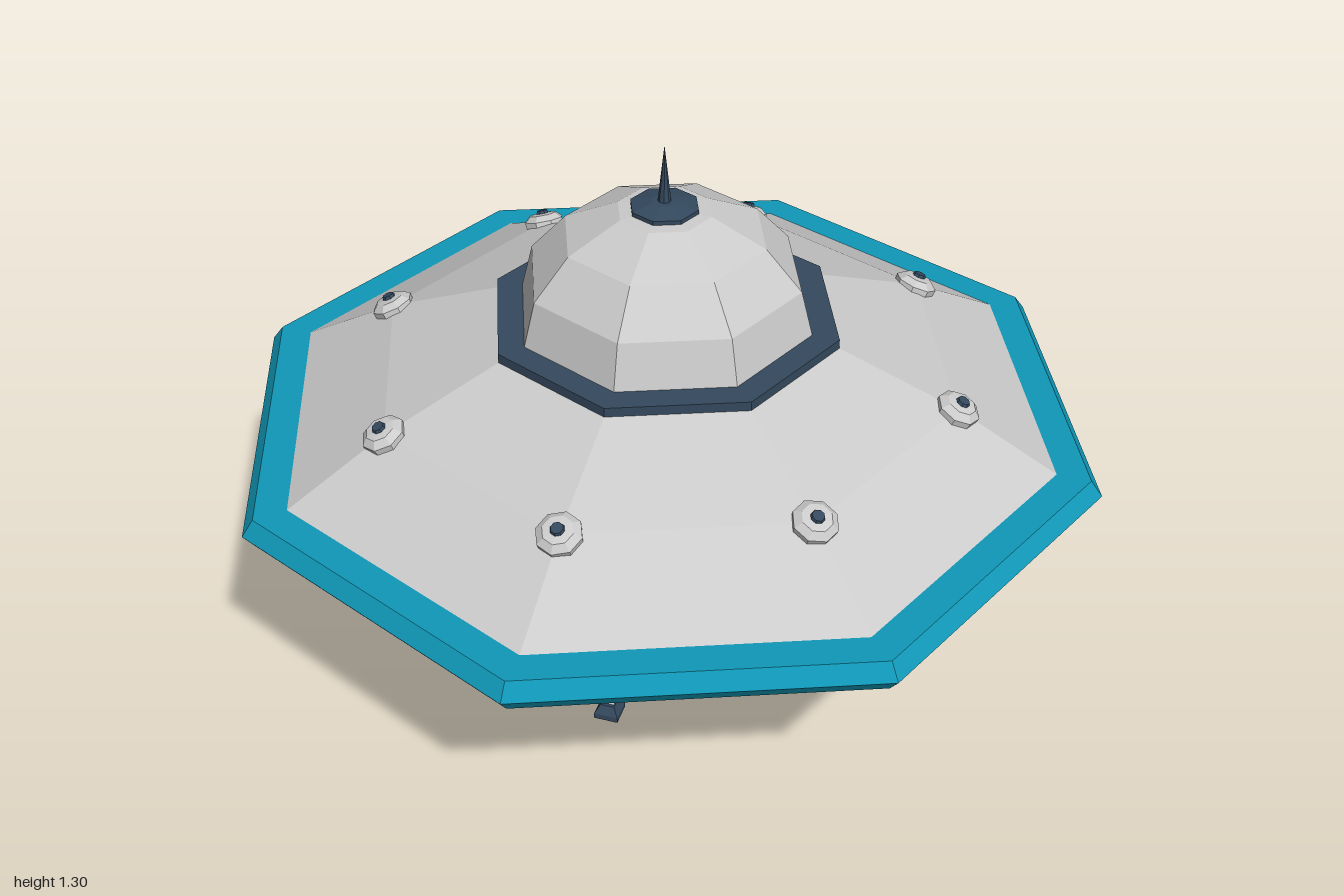
import * as THREE from 'three';

const mat = (color) => new THREE.MeshStandardMaterial({ color, flatShading: true });
const GREY = mat(0xcccccc), TEAL = mat(0x1098b8), DARK = mat(0x34495e);
const SIDES = 8;
const TURN = -THREE.MathUtils.degToRad(15.7); // the octagon is turned a little about y

function add(parent, name, geometry, material, x = 0, y = 0, z = 0) {
  const mesh = new THREE.Mesh(geometry, material);
  mesh.name = name;
  mesh.position.set(x, y, z);
  parent.add(mesh);
  return mesh;
}

// Octagonal solid of revolution; profile listed as [radius, y] from bottom to top
const lathe = (profile, start = TURN) =>
  new THREE.LatheGeometry(profile.map(([r, y]) => new THREE.Vector2(r, y)), SIDES, start);

// Box standing on y = from and reaching y = to
function post(w, d, from, to) {
  return new THREE.BoxGeometry(w, to - from, d).translate(0, (from + to) / 2, 0);
}

function makeLight(phi) {
  const pivot = new THREE.Group();
  pivot.name = 'hullLight';
  pivot.rotation.y = phi;
  const lamp = new THREE.Group();
  lamp.position.set(0, 0.748, 0.695);
  lamp.rotation.x = THREE.MathUtils.degToRad(24);
  pivot.add(lamp);
  add(lamp, 'lightHousing', lathe([[0.05, -0.015], [0.052, 0.006], [0.035, 0.02], [0, 0.025]], 0), GREY);
  add(lamp, 'lightButton', new THREE.CylinderGeometry(0.014, 0.018, 0.012, SIDES), DARK, 0, 0.024, 0);
  return pivot;
}

function makeLeg(angle) {
  const leg = new THREE.Group();
  leg.name = 'landingLeg';
  leg.rotation.y = angle;
  const strut = new THREE.Group();
  strut.position.set(0.435, 0.02, 0);
  strut.rotation.z = THREE.MathUtils.degToRad(23);
  leg.add(strut);
  add(strut, 'legHousing', post(0.077, 0.07, 0.188, 0.4), TEAL);
  add(strut, 'legSleeve', post(0.05, 0.053, 0.12, 0.2), GREY);
  add(strut, 'legRod', post(0.03, 0.03, 0, 0.14), GREY);
  // Foot: square pad with a sloping top
  const s = Math.SQRT1_2;
  const slope = new THREE.CylinderGeometry(0.034 * s, 0.058 * s, 0.022, 4).rotateY(Math.PI / 4);
  add(leg, 'footPad', post(0.058, 0.058, 0, 0.014), DARK, 0.435, 0, 0);
  add(leg, 'footTop', slope, DARK, 0.435, 0.025, 0);
  return leg;
}

export function createModel() {
  const model = new THREE.Group();
  model.name = 'flyingSaucer';

  // Saucer body
  add(model, 'lowerHull', lathe([[0, 0.345], [0.3, 0.345], [0.655, 0.438], [0.95, 0.555]]), GREY);
  add(model, 'upperHull', lathe([[0.95, 0.61], [0.695, 0.748], [0.4, 0.86]]), GREY);
  add(model, 'rim', lathe([[0.92, 0.547], [1.01, 0.545], [1.038, 0.583], [1.01, 0.62], [0.92, 0.62]]), TEAL);

  // Cabin dome, collar and antenna
  add(model, 'domeCollar', lathe([[0.35, 0.848], [0.415, 0.85], [0.415, 0.877], [0.33, 0.877]]), DARK);
  add(model, 'dome', lathe([[0.353, 0.87], [0.323, 0.985], [0.238, 1.08], [0.11, 1.14], [0, 1.148]]), GREY);
  add(model, 'antennaBase', lathe([[0.08, 1.135], [0.08, 1.152], [0.03, 1.163], [0, 1.163]]), DARK);
  add(model, 'antenna', new THREE.ConeGeometry(0.016, 0.145, SIDES), DARK, 0, 1.2275, 0);

  // One light on each corner of the upper hull
  for (let i = 0; i < SIDES; i++) model.add(makeLight(TURN + (i * Math.PI * 2) / SIDES));

  // Three legs
  for (let i = 0; i < 3; i++) model.add(makeLeg(Math.PI + (i * Math.PI * 2) / 3));

  return model;
}
